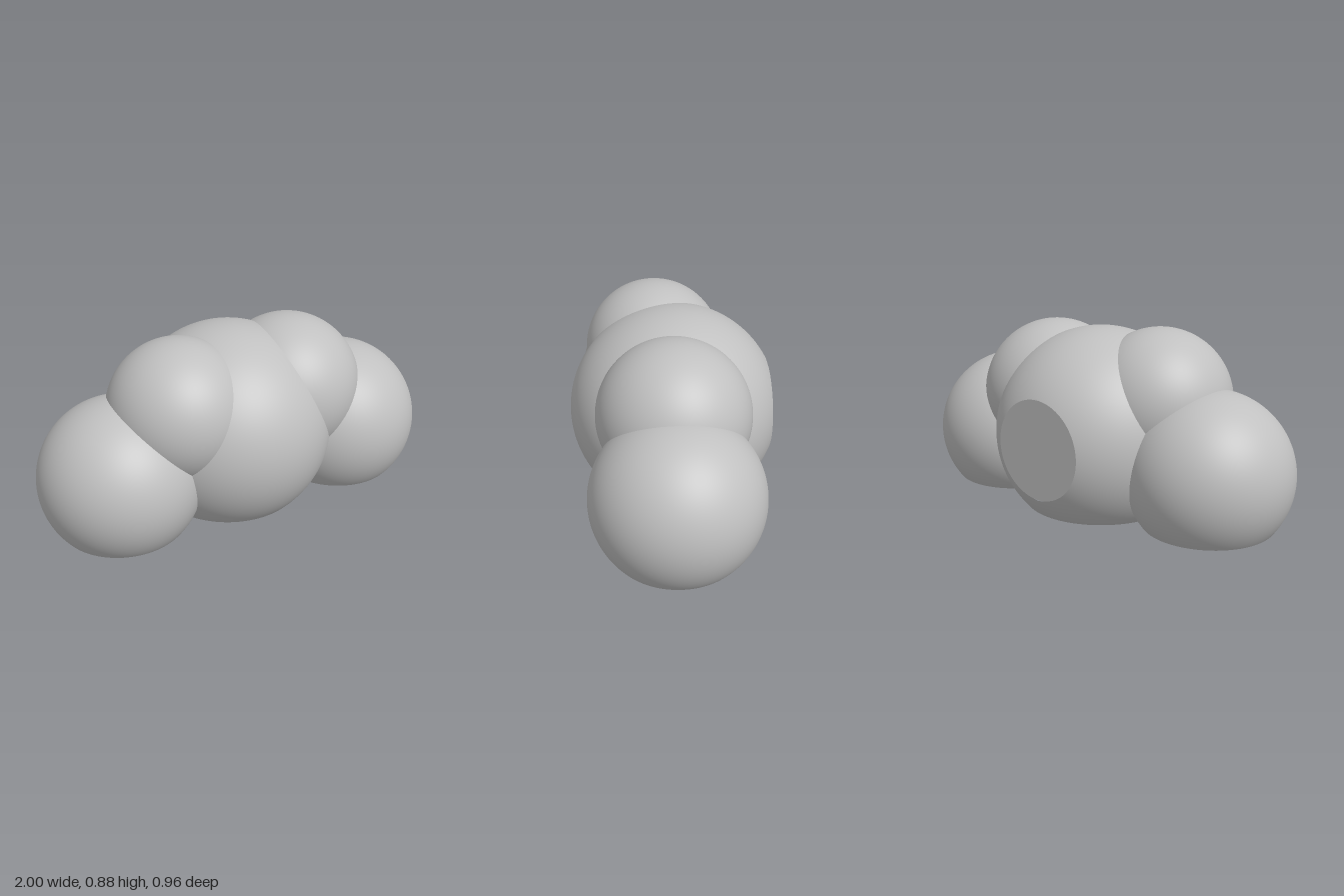
import * as THREE from 'three';

const FLOOR = 0, BACK = -0.48;

// Each puff: centre and radius; all are cut flat by the floor, the middle one also at the back
const PUFFS = [
  { name: 'middlePuff', c: [-0.015, 0.35, -0.03], r: 0.508, cutBack: true },
  { name: 'leftOuterPuff', c: [0.598, 0.25, 0.01], r: 0.4 },
  { name: 'rightOuterPuff', c: [-0.61, 0.24, 0.025], r: 0.39 },
  { name: 'leftUpperPuff', c: [0.3, 0.497, 0], r: 0.36 },
  { name: 'rightUpperPuff', c: [-0.31, 0.533, 0.047], r: 0.342 },
];

// Sphere that stops at the floor, with its seam at the back
function puffGeometry(r, drop, backDepth) {
  const polar = drop < r ? Math.acos(-drop / r) : Math.PI;
  const g = new THREE.SphereGeometry(r, 96, 80, -Math.PI / 2, Math.PI * 2, 0, polar);
  if (backDepth === undefined) return g;
  // Open the seam so that every ring ends exactly on the flat back
  const p = g.attributes.position, n = g.attributes.normal, uv = g.attributes.uv;
  for (let i = 0; i < p.count; i++) {
    const y = p.getY(i);
    const ring = Math.sqrt(Math.max(0, r * r - y * y));
    const gap = ring > backDepth ? Math.acos(backDepth / ring) : 0;
    const a = gap + uv.getX(i) * (Math.PI * 2 - 2 * gap);
    const x = -Math.sin(a) * ring, z = -Math.cos(a) * ring;
    p.setXYZ(i, x, y, z);
    n.setXYZ(i, x / r, y / r, z / r);
  }
  return g;
}

export function createModel() {
  const model = new THREE.Group();
  model.name = 'cloud';
  const grey = new THREE.MeshStandardMaterial({ color: 0xc0c0c0 });
  grey.name = 'grey';

  const add = (parent, name, geometry) => {
    const mesh = new THREE.Mesh(geometry, grey);
    mesh.name = name;
    parent.add(mesh);
    return mesh;
  };

  for (const { name, c, r, cutBack } of PUFFS) {
    const puff = new THREE.Group();
    puff.name = name;
    puff.position.set(...c);
    model.add(puff);

    const drop = c[1] - FLOOR;
    const depth = cutBack ? c[2] - BACK : undefined;
    add(puff, name + 'Shell', puffGeometry(r, drop, depth));

    // Flat underside
    if (drop < r) {
      const base = add(puff, name + 'Base', new THREE.CircleGeometry(Math.sqrt(r * r - drop * drop), 96));
      base.rotation.x = Math.PI / 2;
      base.position.y = -drop;
    }
    // Flat back
    if (cutBack) {
      const back = add(puff, name + 'Back', new THREE.CircleGeometry(Math.sqrt(r * r - depth * depth), 96));
      back.rotation.y = Math.PI;
      back.position.z = -depth;
    }
  }
  return model;
}
